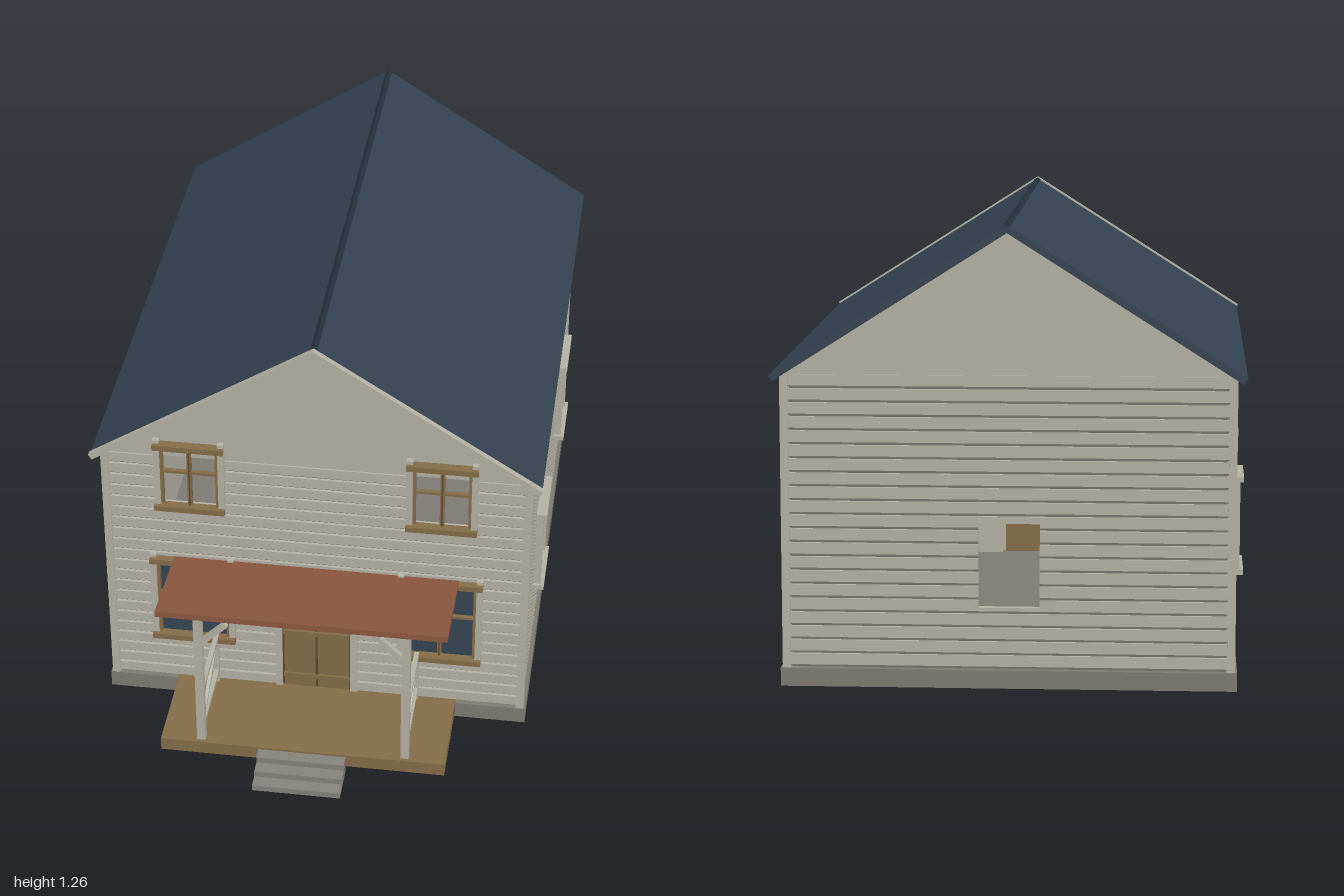
import * as THREE from 'three';

const mat = (name, color) => {
  const m = new THREE.MeshStandardMaterial({ color });
  m.name = name;
  return m;
};

export function createModel() {
  const house = new THREE.Group();
  house.name = 'house';
  const paint = mat('wallPaint', 0xb3b0a3);
  const stone = mat('foundationGrey', 0x7d7a72);
  const slate = mat('roofBlue', 0x33414f);
  const cap = mat('ridgeDark', 0x26303a);
  const glass = mat('windowGlass', 0x374454);
  const wood = mat('wood', 0x846c48);
  const darkWood = mat('darkWood', 0x5c4a30);
  const rust = mat('porchRoofRust', 0x8a563f);
  const stepMat = mat('stepGrey', 0x84827a);

  const add = (name, geo, material, parent = house) => {
    const m = new THREE.Mesh(geo, material);
    m.name = name;
    parent.add(m);
    return m;
  };
  // Box given by its bounds
  const box = (name, material, x0, x1, y0, y1, z0, z1, parent) => {
    const m = add(name, new THREE.BoxGeometry(Math.abs(x1 - x0), y1 - y0, z1 - z0), material, parent);
    m.position.set((x0 + x1) / 2, (y0 + y1) / 2, (z0 + z1) / 2);
    return m;
  };
  // Bar between two points
  const beam = (name, material, a, b, w, h) => {
    const p = new THREE.Vector3(...a), q = new THREE.Vector3(...b);
    const m = add(name, new THREE.BoxGeometry(w, h, p.distanceTo(q)), material);
    m.position.copy(p).add(q).multiplyScalar(0.5);
    m.lookAt(q);
    return m;
  };
  // Outline in x and y, extruded from z0 to z1
  const prism = (name, material, pts, z0, z1) => {
    const shape = new THREE.Shape(pts.map(([x, y]) => new THREE.Vector2(x, y)));
    const m = add(name, new THREE.ExtrudeGeometry(shape, { depth: z1 - z0, bevelEnabled: false }), material);
    m.position.z = z0;
    return m;
  };

  // Clapboard walls: every wall is made facing +x, then turned into place
  const base = 0.05, top = 0.85, pitch = (top - base) / 21;
  const siding = (u0, u1, y0, y1, parent) => {
    const s = new THREE.Shape();
    s.moveTo(-0.02, y0);
    for (let i = 0; i < 21; i++) {
      const lo = base + i * pitch, a = Math.max(lo, y0), b = Math.min(lo + pitch, y1);
      if (b - a < 1e-4) continue;
      const chamfer = Math.min(a + 0.008, b - 0.00005);
      s.lineTo(a === lo ? -0.009 : 0, a);
      if (a === lo) s.lineTo(0, chamfer);
      s.lineTo(0, b);
    }
    s.lineTo(-0.02, y1);
    const m = add('siding', new THREE.ExtrudeGeometry(s, { depth: u1 - u0, bevelEnabled: false }), paint, parent);
    m.position.z = u0;
  };
  const wall = (name, angle, dist, u0, u1, holes) => {
    const turn = new THREE.Group(), g = new THREE.Group();
    turn.name = name;
    turn.rotation.y = angle;
    g.position.x = dist;
    turn.add(g);
    house.add(turn);
    const cuts = [...new Set([u0, u1, ...holes.flatMap(h => [h[0], h[1]])])].sort((a, b) => a - b);
    for (let i = 0; i + 1 < cuts.length; i++) {
      const mid = (cuts[i] + cuts[i + 1]) / 2;
      let y = base;
      holes.filter(h => h[0] < mid && mid < h[1]).sort((a, b) => a[2] - b[2]).forEach(h => {
        if (h[2] > y) siding(cuts[i], cuts[i + 1], y, h[2], g);
        y = h[3];
      });
      if (y < top) siding(cuts[i], cuts[i + 1], y, top, g);
    }
    return g;
  };

  const frontHoles = [[-0.11, 0.11, base, 0.475]];
  for (const s of [-1, 1]) {
    const span = (a, b) => (s > 0 ? [a, b] : [-b, -a]);
    frontHoles.push([...span(0.245, 0.47), 0.215, 0.49], [...span(0.265, 0.45), 0.685, top]);
  }
  wall('frontWall', -Math.PI / 2, 0.595, -0.6, 0.6, frontHoles);
  wall('backWall', Math.PI / 2, 0.96, -0.6, 0.6, [[-0.085, 0.08, 0.22, 0.45]]);

  // Side walls with their framed windows
  for (const s of [-1, 1]) {
    const spans = [[0.115, 0.28], [-0.655, -0.49]].map(([a, b]) => (s > 0 ? [a, b] : [-b, -a]));
    const ends = s > 0 ? [-0.955, 0.59] : [-0.59, 0.955];
    const g = wall(s > 0 ? 'leftWall' : 'rightWall', s > 0 ? 0 : Math.PI, 0.605, ...ends,
      spans.map(([a, b]) => [a, b, 0.265, 0.515]));
    for (const [a, b] of spans) {
      box('sideGlass', glass, -0.018, -0.012, 0.265, 0.515, a, b, g);
      for (const [y0, y1] of [[0.255, 0.27], [0.515, 0.53]])
        box('sideWindowRail', paint, -0.01, 0.03, y0, y1, a - 0.015, b + 0.015, g);
      for (const u of [a, b])
        box('sideWindowStile', paint, -0.01, 0.02, 0.27, 0.515, u - 0.012, u + 0.006, g);
    }
  }

  // Foundation and corner boards
  box('foundation', stone, -0.615, 0.615, 0, 0.05, -0.97, 0.602);
  for (const s of [-1, 1])
    for (const [z0, z1] of [[0.578, 0.6], [-0.965, -0.943]])
      box('cornerBoard', paint, s * 0.588, s * 0.61, base, top, z0, z1);

  // Gables and roof
  prism('gables', paint, [[-0.605, 0.85], [0.605, 0.85], [0, 1.236]], -0.955, 0.59);
  for (const s of [-1, 1]) {
    const slope = [[0, 1.255], [s * 0.635, 0.852], [s * 0.625, 0.836], [0, 1.233]];
    const fascia = [[0, 1.261], [s * 0.638, 0.856], [s * 0.628, 0.841], [0, 1.24]];
    prism('roofSlope', slate, slope, -1, 0.61);
    prism('fascia', paint, fascia, 0.608, 0.626);
  }
  prism('ridgeCap', cap, [[-0.01, 1.252], [0, 1.259], [0.01, 1.252], [0, 1.245]], -1, 0.608);

  // Front windows, mirrored
  for (const s of [-1, 1]) {
    const part = (n, m, a, b, ...r) => box(n, m, s * a, s * b, ...r);
    part('lowerGlass', glass, 0.245, 0.47, 0.215, 0.49, 0.578, 0.586);
    const rows = [
      { n: 'lowerWindow', a: 0.237, b: 0.48, y0: 0.197, y1: 0.507, cross: 0.365 },
      { n: 'upperWindow', a: 0.257, b: 0.458, y0: 0.664, y1: 0.91, cross: 0.8 },
    ];
    for (const { n, a, b, y0, y1, cross } of rows) {
      const c = (a + b) / 2;
      for (const u of [a, b - 0.018]) part(n + 'Stile', paint, u, u + 0.018, y0, y1, 0.585, 0.607);
      for (const y of [y0 + 0.01, y1 - 0.027]) part(n + 'Rail', wood, a, b, y, y + 0.017, 0.59, 0.618);
      for (const u of [a + 0.018, b - 0.026]) part(n + 'InnerStile', wood, u, u + 0.008, y0 + 0.02, y1 - 0.02, 0.585, 0.602);
      part(n + 'Mullion', wood, c - 0.006, c + 0.006, y0 + 0.02, y1 - 0.02, 0.585, 0.6);
      part(n + 'Groove', darkWood, c - 0.002, c + 0.002, y0 + 0.027, y1 - 0.027, 0.599, 0.602);
      part(n + 'Muntin', wood, a + 0.02, b - 0.02, cross - 0.004, cross + 0.004, 0.585, 0.598);
    }
  }

  // Door with battens, jambs and lintel
  box('door', wood, -0.1, 0.1, 0.055, 0.475, 0.575, 0.592);
  for (const x of [-0.098, 0, 0.098])
    box('doorGroove', darkWood, x - 0.003, x + 0.003, 0.06, 0.47, 0.591, 0.594);
  for (const y of [0.09, 0.25, 0.395, 0.455])
    box('doorBatten', wood, -0.097, 0.097, y, y + 0.014, 0.59, 0.599);
  for (const s of [-1, 1]) box('doorJamb', paint, s * 0.1, s * 0.12, 0.055, 0.475, 0.575, 0.605);
  box('doorLintel', wood, -0.12, 0.12, 0.47, 0.487, 0.59, 0.612);

  // Porch
  box('porchDeck', wood, -0.41, 0.41, 0.02, 0.06, 0.598, 0.885);
  beam('porchRoof', rust, [0, 0.492, 0.598], [0, 0.52, 0.888], 0.82, 0.017);
  for (const s of [-1, 1]) {
    const x = s * 0.294;
    box('porchPost', paint, s * 0.282, s * 0.306, 0.06, 0.513, 0.85, 0.874);
    beam('porchBrace', paint, [s * 0.29, 0.41, 0.862], [s * 0.215, 0.485, 0.862], 0.016, 0.016);
    for (const y of [0.1, 0.222]) beam('porchRail', paint, [x, y, 0.6], [x, y, 0.855], 0.014, 0.012);
    beam('railDiagonal', paint, [x, 0.105, 0.85], [x, 0.216, 0.615], 0.01, 0.01);
    box('railEndPost', paint, x - 0.007, x + 0.007, 0.06, 0.228, 0.6, 0.614);
  }

  // Front steps
  for (let i = 0; i < 3; i++)
    box('step', stepMat, -0.126, 0.126, i * 0.018, (i + 1) * 0.018, 0.88, 1 - i * 0.039);

  return house;
}
